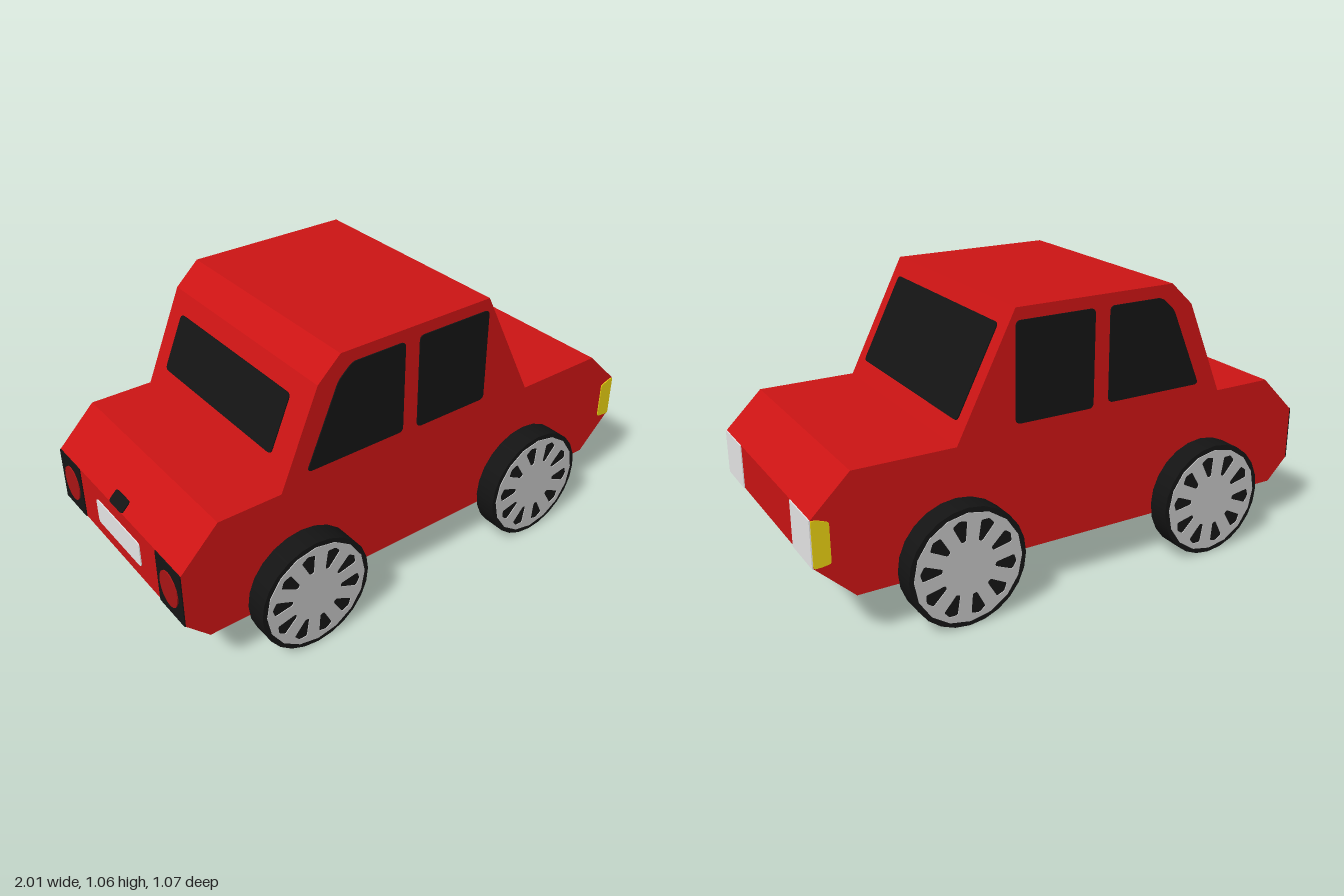
import * as THREE from 'three';

const mat = (name, color) => {
  const m = new THREE.MeshStandardMaterial({ color });
  m.name = name;
  return m;
};

const HALF = 0.443;   // half width of the body
const THIN = 0.004;   // thickness of painted plates

// Polygon shape with softened corners
function softPoly(points, r = 0.02) {
  const p = points.map(([x, y]) => new THREE.Vector2(x, y));
  const s = new THREE.Shape();
  p.forEach((c, i) => {
    const prev = p[(i + p.length - 1) % p.length], next = p[(i + 1) % p.length];
    const a = c.clone().add(prev.clone().sub(c).setLength(r));
    const b = c.clone().add(next.clone().sub(c).setLength(r));
    if (i === 0) s.moveTo(a.x, a.y); else s.lineTo(a.x, a.y);
    s.quadraticCurveTo(c.x, c.y, b.x, b.y);
  });
  s.closePath();
  return s;
}

const rect = (x0, x1, y0, y1) => [[x0, y0], [x1, y0], [x1, y1], [x0, y1]];
const sharp = (pts) => new THREE.Shape(pts.map(([x, y]) => new THREE.Vector2(x, y)));
const slab = (shape, depth = THIN) =>
  new THREE.ExtrudeGeometry(shape, { depth, bevelEnabled: false, curveSegments: 8 });

export function createModel() {
  const car = new THREE.Group();
  car.name = 'car';
  const red = mat('bodyRed', 0xcc1414);
  const black = mat('black', 0x141414);
  const silver = mat('wheelSilver', 0xc0c0c0);
  const white = mat('white', 0xffffff);
  const yellow = mat('indicatorYellow', 0xffe414);
  const lampRed = mat('lampRed', 0xaa1414);

  const add = (name, geometry, material) => {
    const m = new THREE.Mesh(geometry, material);
    m.name = name;
    car.add(m);
    return m;
  };

  // Body: side profile extruded across the width
  const profile = [
    [-0.915, 0.18], [0.86, 0.18], [1, 0.315], [1, 0.483], [0.86, 0.62], [0.487, 0.62],
    [0.265, 1.06], [-0.375, 1.06], [-0.465, 0.975], [-0.615, 0.62], [-0.855, 0.62],
    [-1, 0.475], [-1, 0.265],
  ];
  add('body', slab(sharp(profile), 2 * HALF).translate(0, 0, -HALF), red);

  // Plates on both flanks
  const rearWindow = softPoly([[-0.515, 0.665], [-0.112, 0.665], [-0.11, 1.015], [-0.33, 1.015], [-0.385, 0.965]]);
  const frontWindow = softPoly(rect(-0.048, 0.265, 0.657, 1.016));
  const marker = softPoly([[0.94, 0.32], [0.975, 0.315], [1, 0.315], [1, 0.483], [0.975, 0.478], [0.94, 0.465]], 0.008);
  for (const z of [HALF, -HALF - THIN]) {
    add('rearSideWindow', slab(rearWindow).translate(0, 0, z), black);
    add('frontSideWindow', slab(frontWindow).translate(0, 0, z), black);
    add('sideMarker', slab(marker).translate(0, 0, z), yellow);
  }

  // Plates on the end faces: u runs across the car, v climbs from point a to b
  const panel = (name, shape, material, a, b, facing, lift = 0) => {
    const v = new THREE.Vector3(b[0] - a[0], b[1] - a[1], 0).normalize();
    const n = new THREE.Vector3(v.y * facing, -v.x * facing, 0);
    const u = v.clone().cross(n);
    const basis = new THREE.Matrix4().makeBasis(u, v, n)
      .setPosition(a[0] + n.x * lift, a[1] + n.y * lift, 0);
    add(name, slab(shape).applyMatrix4(basis), material);
  };
  panel('windshield', softPoly(rect(-0.385, 0.385, 0.073, 0.425)), black, [0.487, 0.62], [0.265, 1.06], 1);
  panel('rearWindow', softPoly(rect(-0.365, 0.335, 0.09, 0.308)), black, [-0.615, 0.62], [-0.465, 0.975], -1);
  panel('trunkLock', softPoly(rect(-0.047, 0.047, 0, 0.05), 0.012), black, [-1, 0.475], [-0.855, 0.62], -1);

  const nose = [[1, 0.315], [1, 0.483], 1];
  const tail = [[-1, 0.265], [-1, 0.475], -1];
  for (const s of [-1, 1]) {
    const edge = (inner) => [Math.min(s * inner, s * HALF), Math.max(s * inner, s * HALF)];
    panel('headlight', sharp(rect(...edge(0.264), 0, 0.168)), white, ...nose);
    panel('tailLightPanel', sharp(rect(...edge(0.28), 0, 0.21)), black, ...tail);
    const oval = new THREE.Shape();
    oval.absellipse(s * 0.36, 0.105, 0.058, 0.07, 0, Math.PI * 2);
    panel('tailLight', oval, lampRed, ...tail, THIN);
  }
  panel('rearPlate', softPoly(rect(-0.158, 0.158, 0.055, 0.155), 0.015), white, ...tail);

  // Wheels: dark tyre with a slotted disc on the outer face
  const disc = new THREE.Shape();
  disc.absarc(0, 0, 0.203, 0, Math.PI * 2);
  for (let i = 0; i < 10; i++) {
    const t = 1.76 + (i * Math.PI) / 5;
    const at = (r, side) => [
      r * Math.cos(t) - side * Math.sin(t), r * Math.sin(t) + side * Math.cos(t),
    ];
    disc.holes.push(softPoly([at(0.1, -0.008), at(0.17, -0.028), at(0.183, 0), at(0.17, 0.028), at(0.1, 0.008)], 0.007));
  }
  const tyre = new THREE.CylinderGeometry(0.22, 0.22, 0.088, 24).rotateX(Math.PI / 2);
  const hub = slab(disc, 0.003).translate(0, 0, 0.044);
  for (const x of [-0.545, 0.495]) {
    for (const s of [1, -1]) {
      const wheel = new THREE.Group();
      wheel.name = 'wheel';
      const t = new THREE.Mesh(tyre, black);
      t.name = 'tyre';
      const h = new THREE.Mesh(hub, silver);
      h.name = 'wheelDisc';
      wheel.add(t, h);
      wheel.position.set(x, 0.22, s * (HALF + 0.043));
      if (s < 0) wheel.rotation.y = Math.PI;
      car.add(wheel);
    }
  }
  return car;
}
